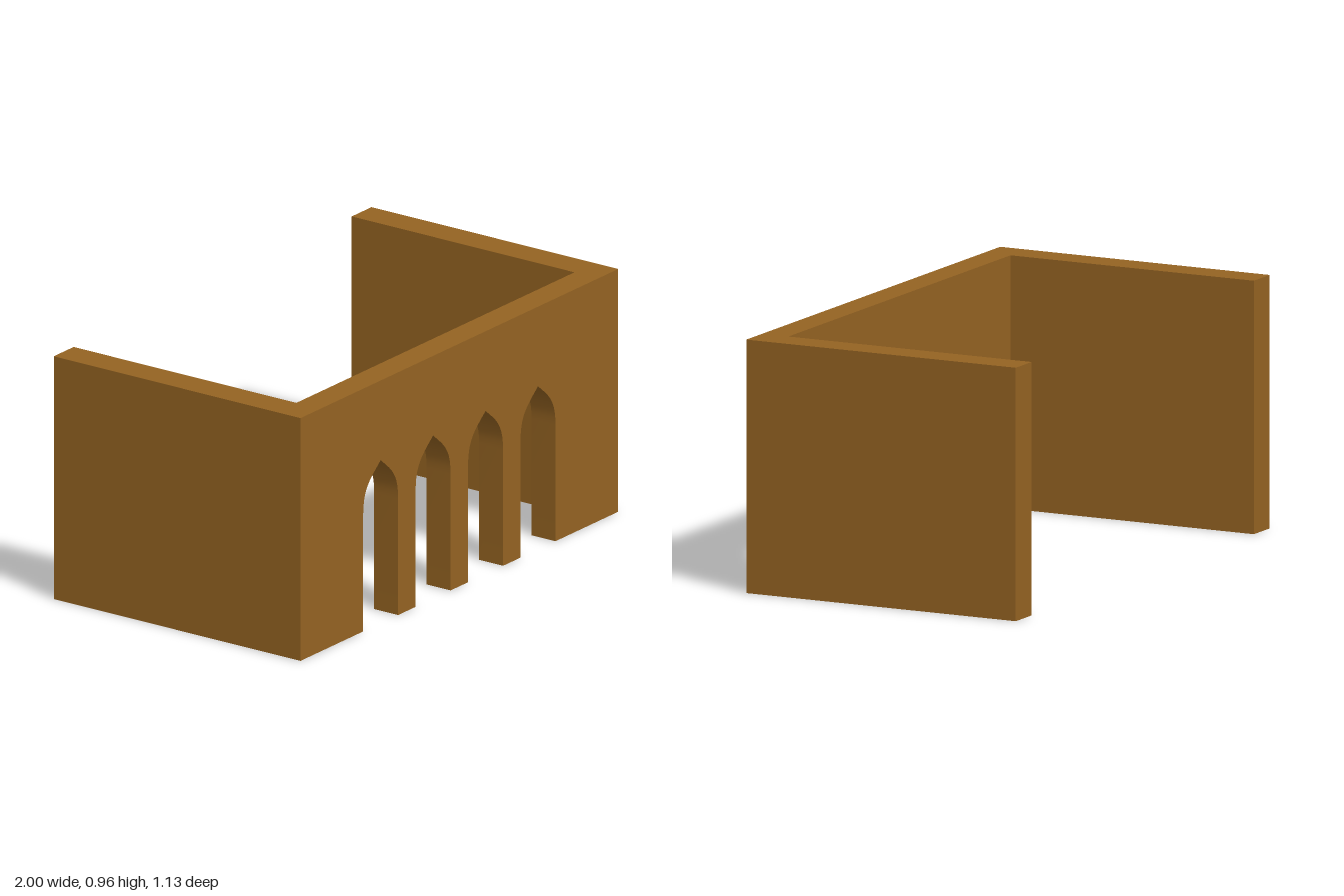
import * as THREE from 'three';
import { toCreasedNormals } from 'three/addons/utils/BufferGeometryUtils.js';

const HEIGHT = 0.96, DEPTH = 1.135, SIDE = 0.125, FRONT = 0.11;
const INNER = 1 - SIDE; // half width between the side walls
const ARCH_CENTRES = [-0.495, -0.165, 0.165, 0.495];
const ARCH_HALF = 0.11, SPRING = 0.46, APEX = 0.645;

export function createModel() {
  const group = new THREE.Group();
  group.name = 'arcadeWalls';
  const material = new THREE.MeshStandardMaterial({ color: 0x946322 });

  function add(name, geometry, x, y, z) {
    const mesh = new THREE.Mesh(geometry, material);
    mesh.name = name;
    mesh.position.set(x, y, z);
    group.add(mesh);
  }

  // Front wall outline, notched along the ground by four pointed arches
  const outline = new THREE.Shape();
  outline.moveTo(-INNER, 0);
  for (const c of ARCH_CENTRES) {
    outline.lineTo(c - ARCH_HALF, 0);
    outline.lineTo(c - ARCH_HALF, SPRING);
    outline.bezierCurveTo(c - ARCH_HALF, 0.565, c - 0.065, 0.59, c, APEX);
    outline.bezierCurveTo(c + 0.065, 0.59, c + ARCH_HALF, 0.565, c + ARCH_HALF, SPRING);
    outline.lineTo(c + ARCH_HALF, 0);
  }
  outline.lineTo(INNER, 0);
  outline.lineTo(INNER, HEIGHT);
  outline.lineTo(-INNER, HEIGHT);
  outline.closePath();
  const front = new THREE.ExtrudeGeometry(outline, { depth: FRONT, bevelEnabled: false, curveSegments: 10 });
  add('frontArcadeWall', toCreasedNormals(front, 0.5), 0, 0, DEPTH / 2 - FRONT);

  // Solid side walls running back from the front corners
  for (const s of [-1, 1]) {
    add(s > 0 ? 'leftWall' : 'rightWall', new THREE.BoxGeometry(SIDE, HEIGHT, DEPTH),
      s * (1 - SIDE / 2), HEIGHT / 2, 0);
  }
  return group;
}
